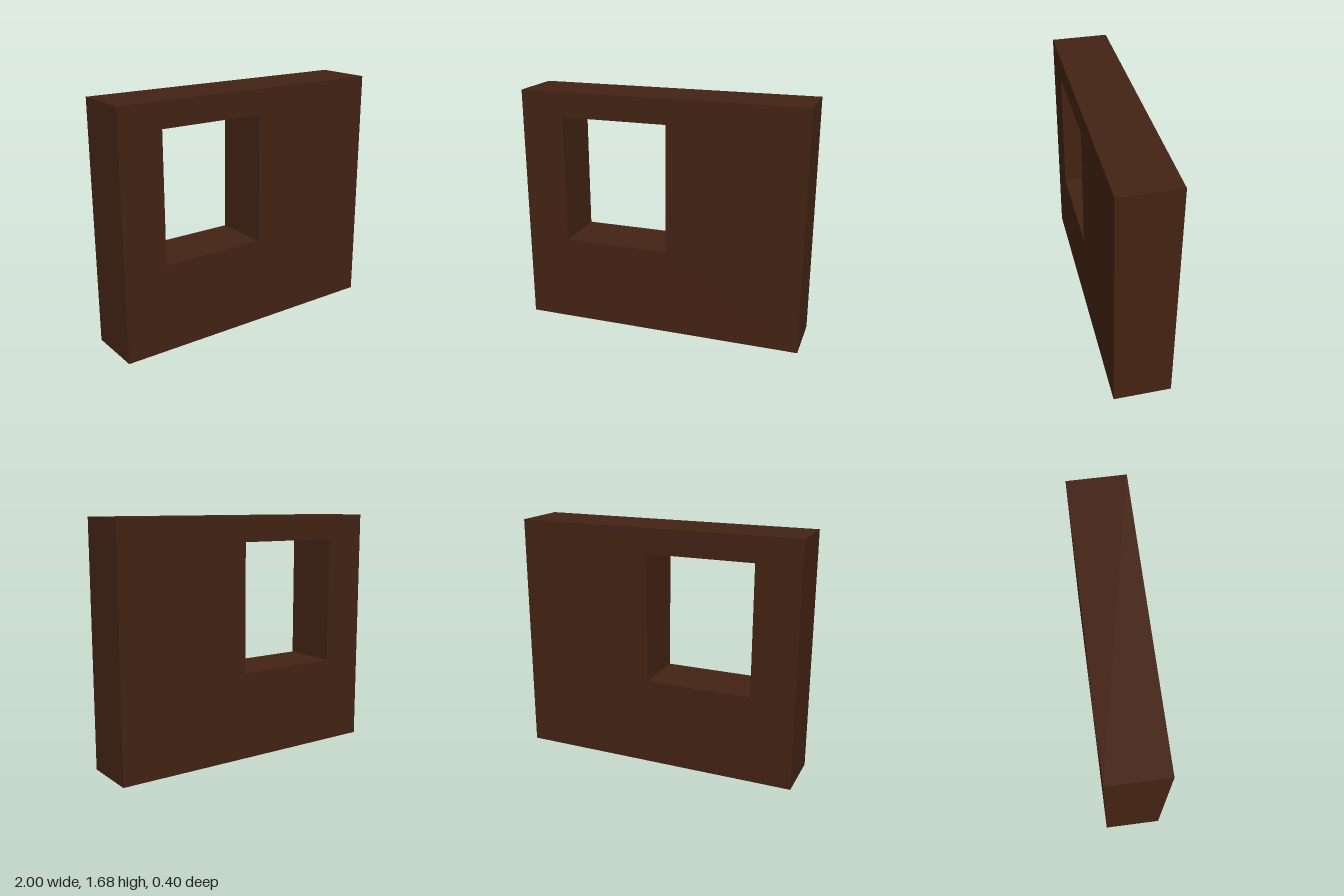
import * as THREE from 'three';

// Adds a closed rectangle to a shape or path
function rect(path, x0, y0, x1, y1) {
  path.moveTo(x0, y0);
  path.lineTo(x1, y0);
  path.lineTo(x1, y1);
  path.lineTo(x0, y1);
  path.closePath();
  return path;
}

export function createModel() {
  const group = new THREE.Group();
  group.name = 'windowWall';

  const depth = 0.4;
  const material = new THREE.MeshStandardMaterial({ color: 0x432313 });

  // Wall slab with an off-centre window opening cut right through
  const outline = rect(new THREE.Shape(), -1, 0, 1, 1.685);
  outline.holes.push(rect(new THREE.Path(), -0.697, 0.614, 0.052, 1.512));

  const geometry = new THREE.ExtrudeGeometry(outline, { depth, bevelEnabled: false });
  geometry.translate(0, 0, -depth / 2);

  const wall = new THREE.Mesh(geometry, material);
  wall.name = 'wall';
  group.add(wall);
  return group;
}
